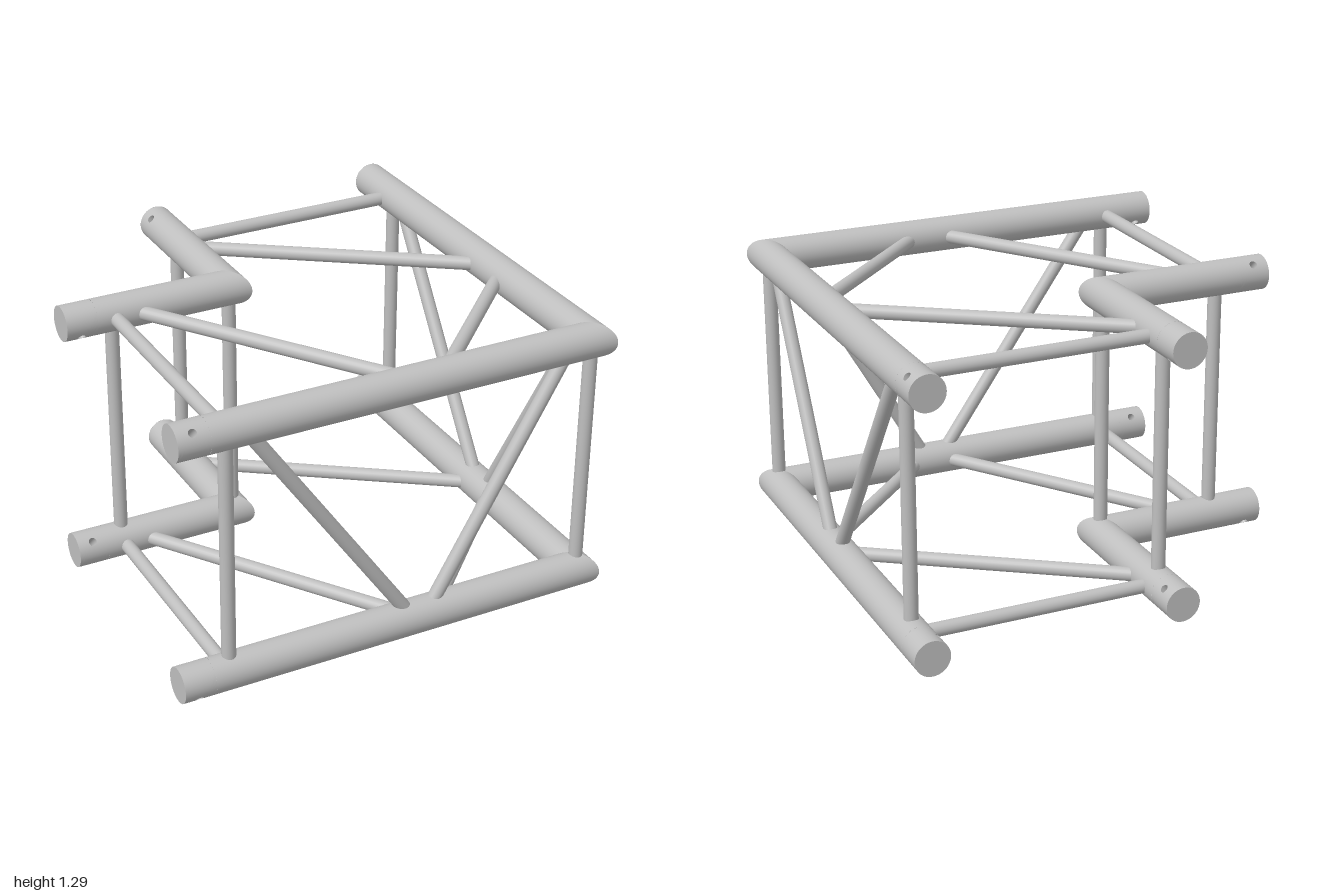
import * as THREE from 'three';
import { ParametricGeometry } from 'three/addons/geometries/ParametricGeometry.js';

const R = 0.079;            // chord radius
const BRACE = 0.031;        // brace radius
const HOLE = 0.018;         // pin hole radius
const LOW = R, HIGH = 1.215; // chord axis heights
const OUT = 0.921, IN = -0.216; // chord axis offsets
const HOLE_X = -0.93, HALF = 0.07; // drilled end section

export function createModel() {
  const model = new THREE.Group();
  model.name = 'cornerTruss';
  const metal = new THREE.MeshStandardMaterial({ color: 0xbfbfbf, side: THREE.DoubleSide });
  metal.name = 'aluminium grey';

  const add = (parent, name, geometry) => {
    const mesh = new THREE.Mesh(geometry, metal);
    mesh.name = name;
    parent.add(mesh);
    return mesh;
  };

  // Half of a tube wall, running from a round hole out to a rectangle
  function drilledWall(angle) {
    return new ParametricGeometry((u, v, p) => {
      const t = -2 * Math.PI * u, c = Math.cos(t), s = Math.sin(t);
      const m = Math.max(Math.abs(c), Math.abs(s));
      const a = THREE.MathUtils.lerp(Math.asin(HOLE * c / R), c / m * Math.PI / 2, v);
      const x = THREE.MathUtils.lerp(HOLE * s, s / m * HALF, v);
      p.set(HOLE_X + x, R * Math.cos(angle + a), R * Math.sin(angle + a));
    }, 48, 8);
  }

  // Bore across the tube, its ends trimmed to the tube's curve
  function boreGeometry(angle) {
    const g = new THREE.CylinderGeometry(HOLE, HOLE, 2 * R, 24, 1, true);
    const p = g.attributes.position;
    for (let i = 0; i < p.count; i++) {
      p.setY(i, Math.sign(p.getY(i)) * Math.sqrt(R * R - p.getZ(i) ** 2));
    }
    return g.rotateX(angle).translate(HOLE_X, 0, 0);
  }

  // Plain tube along x, with its far end mitred at 45 degrees
  function mitredTube(c) {
    const start = HOLE_X + HALF, len = c - start;
    const g = new THREE.CylinderGeometry(R, R, len, 48, 1, true);
    g.rotateZ(-Math.PI / 2).translate(start + len / 2, 0, 0);
    const p = g.attributes.position;
    for (let i = 0; i < p.count; i++) {
      if (p.getX(i) > start + len / 2) p.setX(i, c + p.getZ(i));
    }
    return g;
  }

  // One chord; the side wing is the front wing turned over about the mitre line
  function chord(name, c, y, wing) {
    const g = new THREE.Group();
    g.name = name;
    const up = (y === HIGH ? 1 : -1) * (wing ? -1 : 1);
    const angle = Math.atan2(Math.sign(c), up);
    const parts = [
      add(g, 'chordTube', mitredTube(c)),
      add(g, 'drilledEndOuter', drilledWall(angle)),
      add(g, 'drilledEndInner', drilledWall(angle + Math.PI)),
      add(g, 'pinBore', boreGeometry(angle)),
      add(g, 'endCap', new THREE.CircleGeometry(R, 48).rotateY(-Math.PI / 2).translate(-1, 0, 0)),
    ];
    parts.forEach((m) => { m.position.z = c; });
    if (wing) {
      g.quaternion.setFromRotationMatrix(new THREE.Matrix4().makeBasis(
        new THREE.Vector3(0, 0, 1), new THREE.Vector3(0, -1, 0), new THREE.Vector3(1, 0, 0)));
    }
    g.position.y = y;
    model.add(g);
  }

  // Thin tube between two points
  function brace(name, a, b) {
    const p = new THREE.Vector3(...a), q = new THREE.Vector3(...b);
    const dir = q.clone().sub(p);
    const mesh = add(model, name, new THREE.CylinderGeometry(BRACE, BRACE, dir.length(), 24));
    mesh.position.copy(p).add(q).multiplyScalar(0.5);
    mesh.quaternion.setFromUnitVectors(new THREE.Vector3(0, 1, 0), dir.normalize());
  }

  for (const wing of [0, 1]) {
    const side = wing ? 'side' : 'front';
    // Swap x and z for the side wing
    const at = (along, y, across) => (wing ? [across, y, along] : [along, y, across]);

    for (const y of [LOW, HIGH]) {
      const level = y === LOW ? 'Lower' : 'Upper';
      chord(side + level + 'OuterChord', OUT, y, wing);
      chord(side + level + 'InnerChord', IN, y, wing);
      // Flat bracing between inner and outer chords
      brace(side + level + 'CrossBrace', at(-0.77, y, IN), at(-0.77, y, OUT));
      brace(side + level + 'FlatDiagonal', at(-0.69, y, IN), at(0.095, y, OUT));
    }
    // Upright bracing
    brace(side + 'OuterPost', at(-0.77, LOW, OUT), at(-0.77, HIGH, OUT));
    brace(side + 'InnerPost', at(-0.77, LOW, IN), at(-0.77, HIGH, IN));
    brace(side + 'LongDiagonal', at(-0.695, HIGH, OUT), at(0.095, LOW, OUT));
    brace(side + 'CornerDiagonal', at(0.165, LOW, OUT), at(0.82, HIGH, OUT));
  }

  // Corner posts and corner braces
  brace('outerCornerPost', [OUT, LOW, OUT], [OUT, HIGH, OUT]);
  brace('innerCornerPost', [IN, LOW, IN], [IN, HIGH, IN]);
  for (const y of [LOW, HIGH]) brace('cornerBrace', [0.2, y, OUT], [OUT, y, 0.2]);

  return model;
}
